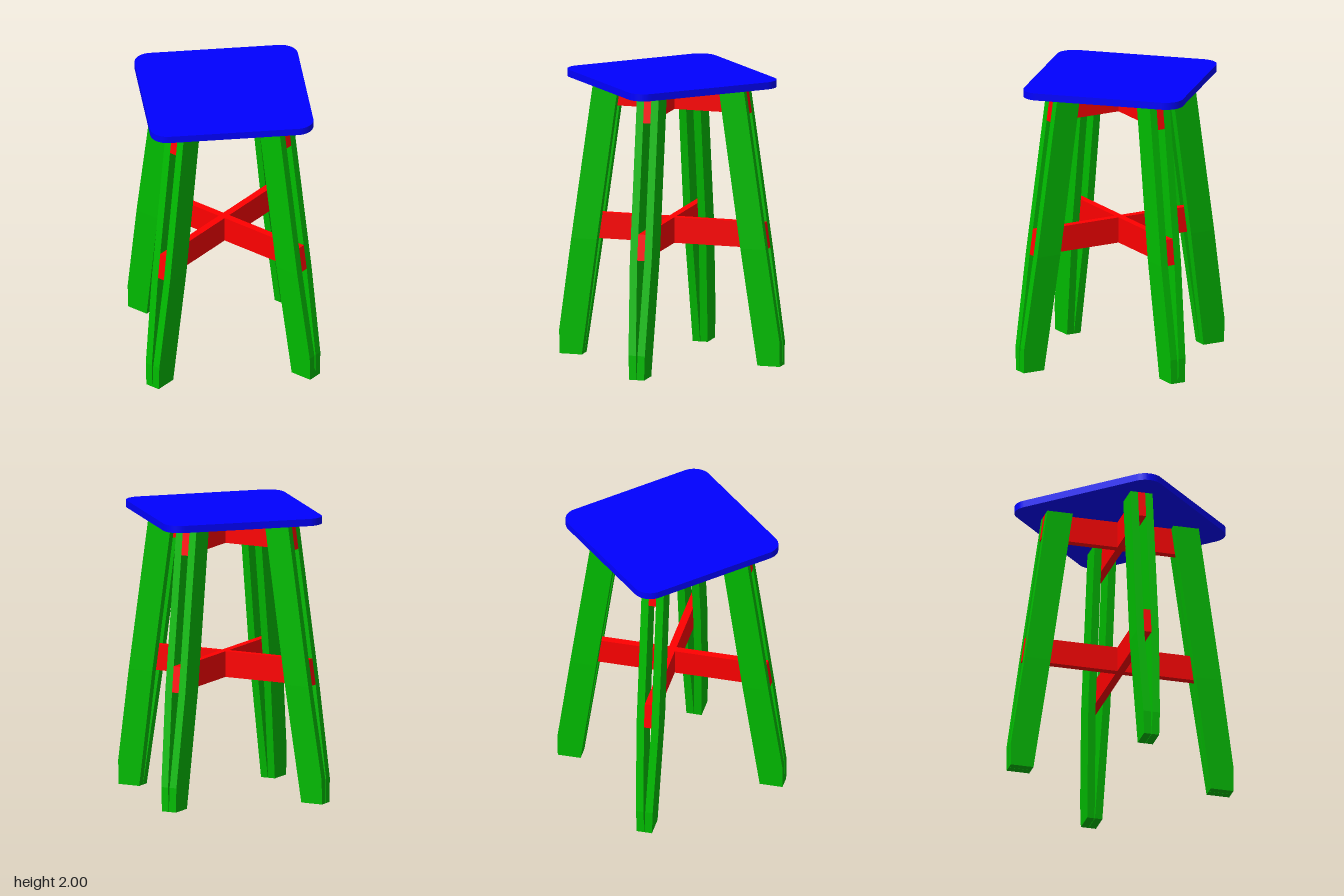
import * as THREE from 'three';
import { mergeGeometries } from 'three/addons/utils/BufferGeometryUtils.js';

const material = (color) => new THREE.MeshStandardMaterial({ color, flatShading: true });
const GAP = 0.026;    // half the space between the two slats of a leg
const SLAT = 0.053;   // slat thickness
const BEND = 0.82;    // height below which the slats close together
const TOP = 1.95;     // underside of the seat

// Sloping edges of a leg at height y
const outerX = (y) => 0.797 - 0.1433 * (y - 0.17);
const innerX = (y) => 0.635 - 0.141 * y;

function extrude(points, depth) {
  const shape = new THREE.Shape(points.map(([x, y]) => new THREE.Vector2(x, y)));
  return new THREE.ExtrudeGeometry(shape, { depth, bevelEnabled: false });
}

// One slat: straight above the bend, leaning to the leg's middle below it
function slatGeometry(side) {
  const upper = extrude([
    [innerX(BEND), BEND], [outerX(BEND), BEND], [outerX(TOP), TOP], [innerX(TOP), TOP],
  ], SLAT);
  const lower = extrude([
    [innerX(0), 0], [0.797, 0], [0.797, 0.17], [outerX(BEND), BEND], [innerX(BEND), BEND],
  ], SLAT);
  const geometry = mergeGeometries([upper, lower]);
  geometry.translate(0, 0, side > 0 ? GAP : -GAP - SLAT);
  const p = geometry.attributes.position;
  for (let i = 0; i < p.count; i++) {
    const close = Math.max(0, 1 - p.getY(i) / BEND);
    p.setZ(i, p.getZ(i) - side * (GAP - 0.001) * close);
  }
  geometry.computeVertexNormals();
  return geometry;
}

// Crossbar with sloping ends flush with the outer edges of the legs
function railGeometry(y0, y1) {
  return extrude([
    [-outerX(y0), y0], [outerX(y0), y0], [outerX(y1), y1], [-outerX(y1), y1],
  ], GAP * 2).translate(0, 0, -GAP);
}

// Square seat with rounded corners
function seatGeometry() {
  const h = 0.566, r = 0.12;
  const s = new THREE.Shape();
  [[1, 1], [-1, 1], [-1, -1], [1, -1]].forEach(([x, y], i) => {
    const a = i * Math.PI / 2;
    s.absarc(x * (h - r), y * (h - r), r, a, a + Math.PI / 2, false);
  });
  return new THREE.ExtrudeGeometry(s, { depth: 2 - TOP, bevelEnabled: false, curveSegments: 10 })
    .rotateX(-Math.PI / 2).rotateY(Math.PI / 4).translate(0, TOP, 0);
}

export function createModel() {
  const stool = new THREE.Group();
  stool.name = 'stool';
  const green = material(0x00bd00), red = material(0xff0000), blue = material(0x0000ff);

  const add = (parent, name, geometry, mat) => {
    const mesh = new THREE.Mesh(geometry, mat);
    mesh.name = name;
    parent.add(mesh);
    return mesh;
  };

  add(stool, 'seat', seatGeometry(), blue);

  // Four legs, each a pair of slats
  const slats = [slatGeometry(1), slatGeometry(-1)];
  ['leftLeg', 'backLeg', 'rightLeg', 'frontLeg'].forEach((name, i) => {
    const leg = new THREE.Group();
    leg.name = name;
    slats.forEach((g, j) => add(leg, 'slat' + (j + 1), g, green));
    leg.rotation.y = i * Math.PI / 2;
    stool.add(leg);
  });

  // Crossed rails under the seat and halfway down
  for (const [name, y0, y1] of [['upperRail', 1.76, TOP], ['lowerRail', 0.82, 1.0]]) {
    const geometry = railGeometry(y0, y1);
    add(stool, name + 'Across', geometry, red);
    add(stool, name + 'Lengthwise', geometry, red).rotation.y = Math.PI / 2;
  }
  return stool;
}
